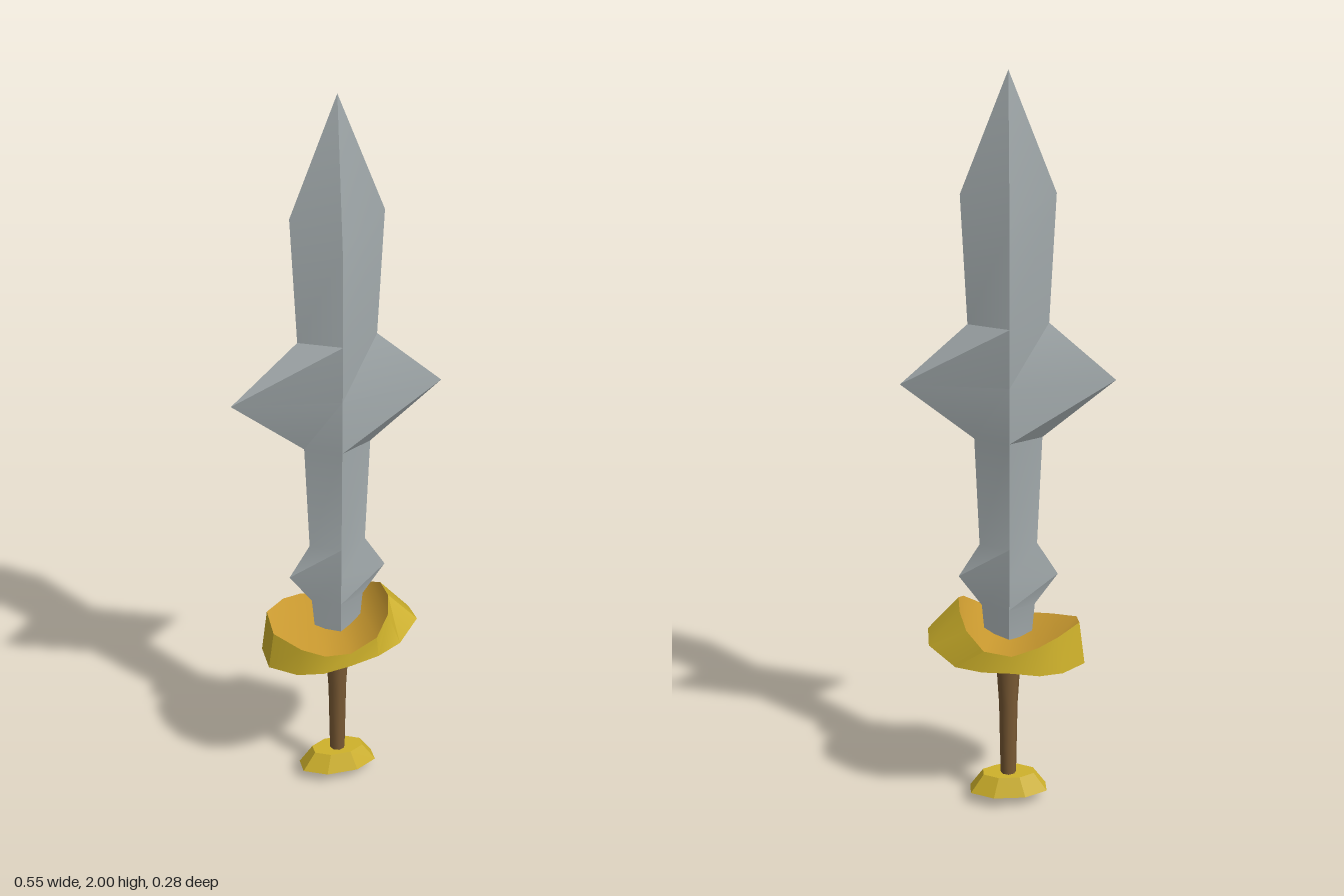
import * as THREE from 'three';
import { toCreasedNormals } from 'three/addons/utils/BufferGeometryUtils.js';

const material = (name, color) => {
  const m = new THREE.MeshStandardMaterial({ color });
  m.name = name;
  return m;
};

// Collects quads given counter-clockwise from outside
class Surface {
  points = [];
  quad(a, b, c, d) {
    this.points.push(...a, ...b, ...c);
    if (c.some((v, i) => v !== d[i])) this.points.push(...a, ...c, ...d);
  }
  geometry(crease) {
    const g = new THREE.BufferGeometry();
    g.setAttribute('position', new THREE.Float32BufferAttribute(this.points, 3));
    g.computeVertexNormals();
    return toCreasedNormals(g, crease);
  }
}

// Diamond-section blade: each row is edge x, edge y, ridge y, ridge z
function bladeGeometry() {
  const rows = [
    [0.06, 0.48, 0.48, 0.036], [0.07, 0.595, 0.595, 0.038], [0.13, 0.68, 0.68, 0.04],
    [0.075, 0.77, 0.77, 0.042], [0.087, 1.065, 1.065, 0.048], [0.273, 1.215, 1.215, 0.051],
    [0.102, 1.37, 1.37, 0.055], [0.118, 1.7, 1.62, 0.05], [0, 2, 2, 0],
  ];
  const s = new Surface();
  for (const sx of [1, -1]) for (const sz of [1, -1]) {
    for (let i = 0; i < rows.length - 1; i++) {
      const [p, q] = [rows[i], rows[i + 1]];
      const edge = r => [sx * r[0], r[1], 0];
      const ridge = r => [0, r[2], sz * r[3]];
      if (sx * sz > 0) s.quad(ridge(p), edge(p), edge(q), ridge(q));
      else s.quad(edge(p), ridge(p), ridge(q), edge(q));
    }
  }
  return s.geometry(0.35);
}

// Curved guard from stations along x:
// top x, top half depth, top y front, top y back, then the same for the bottom
function guardGeometries() {
  const stations = [
    [-0.185, 0.038, 0.535, 0.555, -0.2, 0.04, 0.43, 0.435],
    [-0.125, 0.1, 0.515, 0.545, -0.137, 0.103, 0.437, 0.44],
    [-0.068, 0.132, 0.505, 0.53, -0.073, 0.135, 0.452, 0.45],
    [0, 0.137, 0.505, 0.51, 0, 0.141, 0.468, 0.463],
    [0.072, 0.132, 0.54, 0.525, 0.077, 0.133, 0.48, 0.465],
    [0.115, 0.09, 0.58, 0.565, 0.145, 0.103, 0.488, 0.467],
    [0.13, 0.036, 0.602, 0.595, 0.212, 0.039, 0.512, 0.5],
  ].map(([tx, tz, tf, tb, bx, bz, bf, bb]) => ({
    topFront: [tx, tf, tz], topBack: [tx, tb, -tz],
    lowFront: [bx, bf, bz], lowBack: [bx, bb, -bz],
  }));
  const rim = new Surface(), faces = new Surface();
  for (let i = 0; i < stations.length - 1; i++) {
    const [p, q] = [stations[i], stations[i + 1]];
    faces.quad(p.topFront, q.topFront, q.topBack, p.topBack);
    faces.quad(p.lowBack, q.lowBack, q.lowFront, p.lowFront);
    rim.quad(p.lowFront, q.lowFront, q.topFront, p.topFront);
    rim.quad(q.lowBack, p.lowBack, p.topBack, q.topBack);
  }
  const a = stations[0], b = stations[stations.length - 1];
  rim.quad(a.lowBack, a.lowFront, a.topFront, a.topBack);
  rim.quad(b.lowFront, b.lowBack, b.topBack, b.topFront);
  return { rim: rim.geometry(0.5), faces: faces.geometry(0.7) };
}

// Faceted pommel tapering to a point below
function pommelGeometry() {
  const profile = [[0, 0.005], [1, 0.038], [0.66, 0.09], [0, 0.09]];
  const lathe = new THREE.LatheGeometry(profile.map(p => new THREE.Vector2(...p)), 8);
  lathe.rotateY(Math.PI / 8).scale(0.112, 1, 0.06);
  const g = lathe.toNonIndexed();
  g.computeVertexNormals();
  return g;
}

export function createModel() {
  const steel = material('steel', 0xa3abad);
  const gold = material('gold', 0xcfb22b);
  const bronze = material('bronze', 0xc9992f);
  const leather = material('leather', 0x7a5a34);

  const model = new THREE.Group();
  model.name = 'sword';
  const add = (name, geometry, mat, parent = model) => {
    const mesh = new THREE.Mesh(geometry, mat);
    mesh.name = name;
    parent.add(mesh);
  };

  add('blade', bladeGeometry(), steel);

  const guard = new THREE.Group();
  guard.name = 'guard';
  model.add(guard);
  const { rim, faces } = guardGeometries();
  add('guardRim', rim, gold, guard);
  add('guardFaces', faces, bronze, guard);

  // Grip flares towards the guard
  const grip = [[0.021, 0.08], [0.025, 0.3], [0.034, 0.45], [0.036, 0.49]];
  add('grip', new THREE.LatheGeometry(grip.map(p => new THREE.Vector2(...p)), 8), leather);

  add('pommel', pommelGeometry(), gold);

  // Rest the pommel point on the ground plane
  for (const part of model.children) part.position.y = -0.005;
  return model;
}
